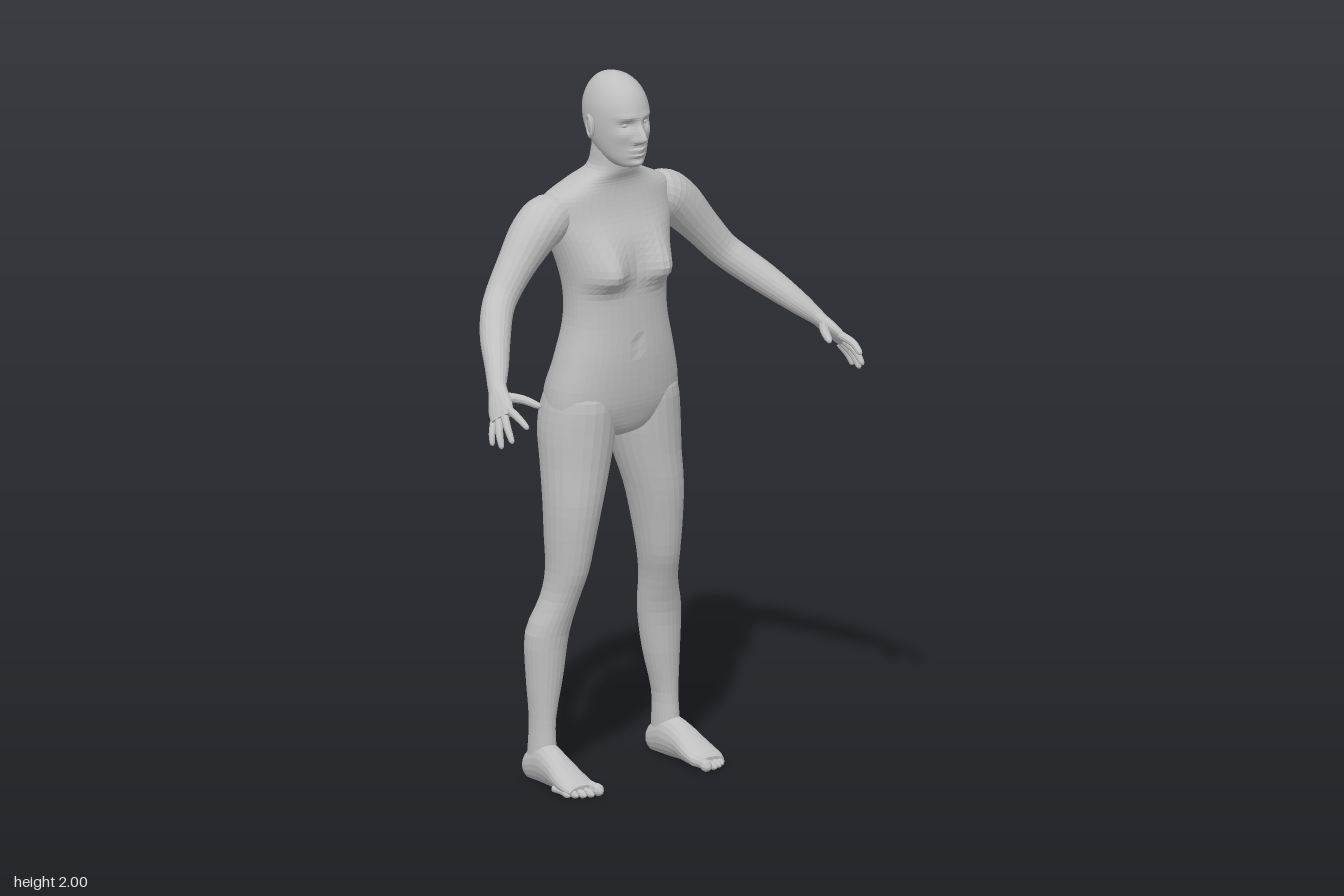
import * as THREE from 'three';

const skin = new THREE.MeshStandardMaterial({ color: 0xbfbfbf });
skin.name = 'plain grey';

const V = (x, y, z) => new THREE.Vector3(x, y, z);
const UP = V(0, 1, 0), FRONT = V(0, 0, 1), SIDE = V(1, 0, 0);
// Bell-shaped falloff used to sculpt bumps and hollows
const bell = (d, s) => Math.exp(-(d * d) / (s * s));

// Smooth closed skin through oval sections [x, y, z, radiusAlongRef, radiusAcross].
function loft(sections, { ref = SIDE, axis = null, sides = 24, steps = 4, power = 2, deform = null } = {}) {
  const centres = new THREE.CatmullRomCurve3(sections.map(s => V(s[0], s[1], s[2])), false, 'catmullrom');
  const radii = new THREE.CatmullRomCurve3(sections.map(s => V(s[3], s[4] ?? s[3], 0)), false, 'catmullrom');
  const rows = (sections.length - 1) * steps;
  const pos = [], idx = [];
  const add = p => { if (deform) deform(p); pos.push(p.x, p.y, p.z); };
  const round = c => Math.sign(c) * Math.abs(c) ** (2 / power);
  for (let i = 0; i <= rows; i++) {
    const c = centres.getPoint(i / rows), r = radii.getPoint(i / rows);
    const t = axis ?? centres.getTangent(i / rows);
    const u = ref.clone().addScaledVector(t, -t.dot(ref)).normalize();
    const w = t.clone().cross(u);
    for (let j = 0; j < sides; j++) {
      const a = j / sides * Math.PI * 2;
      add(c.clone().addScaledVector(u, round(Math.cos(a)) * Math.max(r.x, 0.002))
        .addScaledVector(w, round(Math.sin(a)) * Math.max(r.y, 0.002)));
    }
  }
  for (let i = 0; i < rows; i++) for (let j = 0; j < sides; j++) {
    const k = (j + 1) % sides;
    const a = i * sides + j, b = i * sides + k, c = b + sides, d = a + sides;
    idx.push(a, b, c, a, c, d);
  }
  // End caps
  const first = pos.length / 3;
  add(centres.getPoint(0));
  add(centres.getPoint(1));
  for (let j = 0; j < sides; j++) {
    const k = (j + 1) % sides;
    idx.push(first, k, j, first + 1, rows * sides + j, rows * sides + k);
  }
  const indexed = new THREE.BufferGeometry();
  indexed.setAttribute('position', new THREE.Float32BufferAttribute(pos, 3));
  indexed.setIndex(idx);
  const geometry = indexed.toNonIndexed(); // faceted surface
  geometry.computeVertexNormals();
  return geometry;
}

function part(parent, name, geometry) {
  const mesh = new THREE.Mesh(geometry, skin);
  mesh.name = name;
  parent.add(mesh);
  return mesh;
}

// Upright sections [y, z, halfWidth, halfDepth] on the centre line
const upright = list => list.map(([y, z, rx, rz]) => [0, y, z, rx, rz]);

// Chest, buttocks, spine and navel
function sculptTorso(p) {
  const x = Math.abs(p.x), { y, z } = p;
  if (z > -0.1) {
    const fade = Math.min(1, (z + 0.1) / 0.05);
    p.z += fade * 0.046 * bell(x - 0.092, 0.05) * bell(y - 1.445, y < 1.445 ? 0.035 : 0.075);
    p.z -= fade * 0.008 * bell(x, 0.012) * bell(y - 1.24, 0.014);
  } else if (z < -0.13) {
    const fade = Math.min(1, (-0.13 - z) / 0.05);
    p.z -= fade * 0.05 * bell(x - 0.095, 0.066) * bell(y - 1.075, 0.075);
    p.z += fade * 0.014 * bell(x, 0.028) * bell(y - 1.4, 0.24);
    p.z += fade * 0.018 * bell(x, 0.014) * bell(y - 1.06, 0.08);
  }
}

// Brow, eye sockets, nose, lips, chin and cheeks
function sculptFace(p) {
  const x = Math.abs(p.x), { y, z } = p;
  if (z < -0.06) return;
  const fade = Math.min(1, (z + 0.06) / 0.03);
  p.z += fade * (
    0.034 * bell(x, 0.013) * bell(y - 1.832, y > 1.832 ? 0.034 : 0.012)
    + 0.010 * bell(x - 0.013, 0.008) * bell(y - 1.826, 0.010)
    - 0.014 * bell(x - 0.032, 0.019) * bell(y - 1.87, 0.014)
    + 0.006 * bell(x - 0.03, 0.03) * bell(y - 1.893, 0.011)
    + 0.011 * bell(x, 0.024) * (bell(y - 1.798, 0.007) + bell(y - 1.783, 0.007))
    + 0.010 * bell(x, 0.022) * bell(y - 1.76, 0.011)
    + 0.005 * bell(x - 0.05, 0.018) * bell(y - 1.84, 0.02));
}

const keepAboveGround = p => { p.y = Math.max(p.y, 0); };

function addLeg(body, s, side) {
  const leg = new THREE.Group();
  leg.name = side + 'Leg';
  body.add(leg);
  part(leg, 'legSkin', loft([
    [0.10, 1.16, -0.11, 0.07, 0.07], [0.106, 1.09, -0.118, 0.098, 0.108], [0.112, 1.0, -0.125, 0.105, 0.115],
    [0.124, 0.9, -0.117, 0.094, 0.103], [0.14, 0.8, -0.106, 0.08, 0.091], [0.151, 0.7, -0.105, 0.067, 0.08],
    [0.159, 0.6, -0.108, 0.055, 0.068], [0.172, 0.52, -0.125, 0.051, 0.06], [0.195, 0.42, -0.15, 0.062, 0.06],
    [0.203, 0.3, -0.152, 0.052, 0.053], [0.213, 0.18, -0.148, 0.034, 0.043],
    [0.215, 0.1, -0.147, 0.034, 0.047], [0.216, 0.045, -0.147, 0.036, 0.052],
  ].map(([x, ...rest]) => [s * x, ...rest]), { axis: V(0, -1, 0), sides: 24, steps: 3 }));

  // Foot from heel to ball, flat underneath
  part(leg, 'foot', loft([
    [0.215, 0.036, -0.21, 0.016, 0.018], [0.215, 0.04, -0.19, 0.034, 0.043], [0.216, 0.056, -0.13, 0.041, 0.06],
    [0.221, 0.048, -0.07, 0.044, 0.05], [0.223, 0.032, -0.02, 0.051, 0.036],
    [0.224, 0.022, 0.02, 0.053, 0.024], [0.222, 0.016, 0.045, 0.047, 0.015],
  ].map(([x, ...rest]) => [s * x, ...rest]), { axis: FRONT, sides: 20, deform: keepAboveGround }));

  const toes = [[0.188, 0.084, 0.017], [0.214, 0.08, 0.0115], [0.235, 0.072, 0.011], [0.253, 0.06, 0.0105], [0.268, 0.044, 0.01]];
  for (const [x, tip, r] of toes) part(leg, 'toe', loft([
    [s * x, r + 0.004, tip - 0.07, r], [s * x, r + 0.003, tip - 0.035, r * 0.85],
    [s * x, r, tip - 0.013, r], [s * x, r * 0.8, tip, r * 0.25],
  ], { axis: FRONT, sides: 10, steps: 3, deform: keepAboveGround }));
}

function addArm(body, s, side) {
  const arm = new THREE.Group();
  arm.name = side + 'Arm';
  body.add(arm);
  const flip = list => list.map(([x, ...rest]) => [s * x, ...rest]);
  const spread = V(-0.4 * s, 0.5, 0.77).normalize(); // across the palm, towards the thumb

  part(arm, 'armSkin', loft(flip([
    [0.11, 1.605, -0.145, 0.04], [0.19, 1.605, -0.143, 0.068], [0.25, 1.57, -0.14, 0.067], [0.32, 1.495, -0.13, 0.054],
    [0.38, 1.425, -0.115, 0.047], [0.422, 1.383, -0.085, 0.045], [0.47, 1.335, -0.03, 0.042],
    [0.52, 1.28, 0.04, 0.033], [0.557, 1.238, 0.088, 0.027, 0.022], [0.57, 1.22, 0.11, 0.026, 0.016],
  ]), { ref: spread, sides: 20 }));

  part(arm, 'palm', loft(flip([
    [0.55, 1.245, 0.08, 0.024, 0.018], [0.567, 1.222, 0.108, 0.031, 0.019],
    [0.583, 1.198, 0.137, 0.039, 0.016], [0.596, 1.176, 0.16, 0.037, 0.011],
  ]), { ref: spread, sides: 16, power: 2.3 }));

  // Digits: root, middle joint, tip, radius
  const digits = [
    ['thumb', [0.560, 1.222, 0.115], [0.527, 1.218, 0.163], [0.503, 1.205, 0.216], 0.0125],
    ['indexFinger', [0.578, 1.200, 0.168], [0.583, 1.188, 0.215], [0.580, 1.165, 0.256], 0.0105],
    ['middleFinger', [0.589, 1.186, 0.160], [0.605, 1.158, 0.196], [0.611, 1.122, 0.226], 0.0105],
    ['ringFinger', [0.598, 1.173, 0.148], [0.616, 1.140, 0.174], [0.624, 1.102, 0.195], 0.0105],
    ['littleFinger', [0.603, 1.162, 0.131], [0.620, 1.132, 0.146], [0.628, 1.103, 0.158], 0.009],
  ];
  for (const [name, root, mid, tip, r] of digits) {
    const nearTip = tip.map((v, i) => v + (mid[i] - v) * 0.2);
    part(arm, name, loft(flip([[...root, r * 1.1], [...mid, r], [...nearTip, r * 0.75], [...tip, r * 0.2]]),
      { ref: spread, sides: 10 }));
  }
}

export function createModel() {
  const body = new THREE.Group();
  body.name = 'standingFigure';

  part(body, 'torso', loft(upright([
    [0.965, -0.115, 0.02, 0.04], [0.99, -0.118, 0.1, 0.09], [1.04, -0.115, 0.195, 0.108], [1.1, -0.112, 0.205, 0.117],
    [1.2, -0.103, 0.183, 0.113], [1.3, -0.098, 0.16, 0.102], [1.38, -0.1, 0.157, 0.1], [1.45, -0.108, 0.166, 0.107],
    [1.53, -0.125, 0.188, 0.11], [1.6, -0.143, 0.212, 0.098], [1.655, -0.143, 0.205, 0.082],
    [1.695, -0.135, 0.13, 0.072], [1.73, -0.113, 0.072, 0.063], [1.78, -0.103, 0.062, 0.058], [1.82, -0.1, 0.06, 0.058],
  ]), { axis: UP, sides: 48, power: 2.25, deform: sculptTorso }));

  const head = new THREE.Group();
  head.name = 'head';
  body.add(head);
  part(head, 'skullAndFace', loft(upright([
    [1.742, -0.05, 0.012, 0.02], [1.75, -0.047, 0.036, 0.046], [1.77, -0.057, 0.055, 0.062], [1.8, -0.075, 0.068, 0.083],
    [1.84, -0.089, 0.077, 0.1], [1.88, -0.094, 0.08, 0.106], [1.92, -0.095, 0.077, 0.103],
    [1.96, -0.097, 0.062, 0.083], [1.988, -0.1, 0.036, 0.05], [2.0, -0.1, 0.003, 0.004],
  ]), { axis: UP, sides: 64, steps: 6, power: 2.1, deform: sculptFace }));

  for (const [s, side] of [[1, 'left'], [-1, 'right']]) {
    const eye = part(head, side + 'Eye', new THREE.SphereGeometry(0.014, 16, 12));
    eye.scale.set(1.1, 0.65, 1);
    eye.position.set(s * 0.032, 1.869, -0.019);

    // Ear with a raised rim
    const ear = new THREE.Group();
    ear.name = side + 'Ear';
    ear.position.set(s * 0.083, 1.858, -0.098);
    ear.rotation.set(-0.15, s * 0.3, 0);
    part(ear, 'earBody', new THREE.SphereGeometry(1, 14, 10)).scale.set(0.009, 0.03, 0.018);
    const rim = part(ear, 'earRim', new THREE.TorusGeometry(0.02, 0.005, 8, 20));
    rim.rotation.y = Math.PI / 2;
    rim.scale.set(0.8, 1.4, 1);
    rim.position.x = s * 0.005;
    head.add(ear);

    addArm(body, s, side);
    addLeg(body, s, side);
  }
  return body;
}
